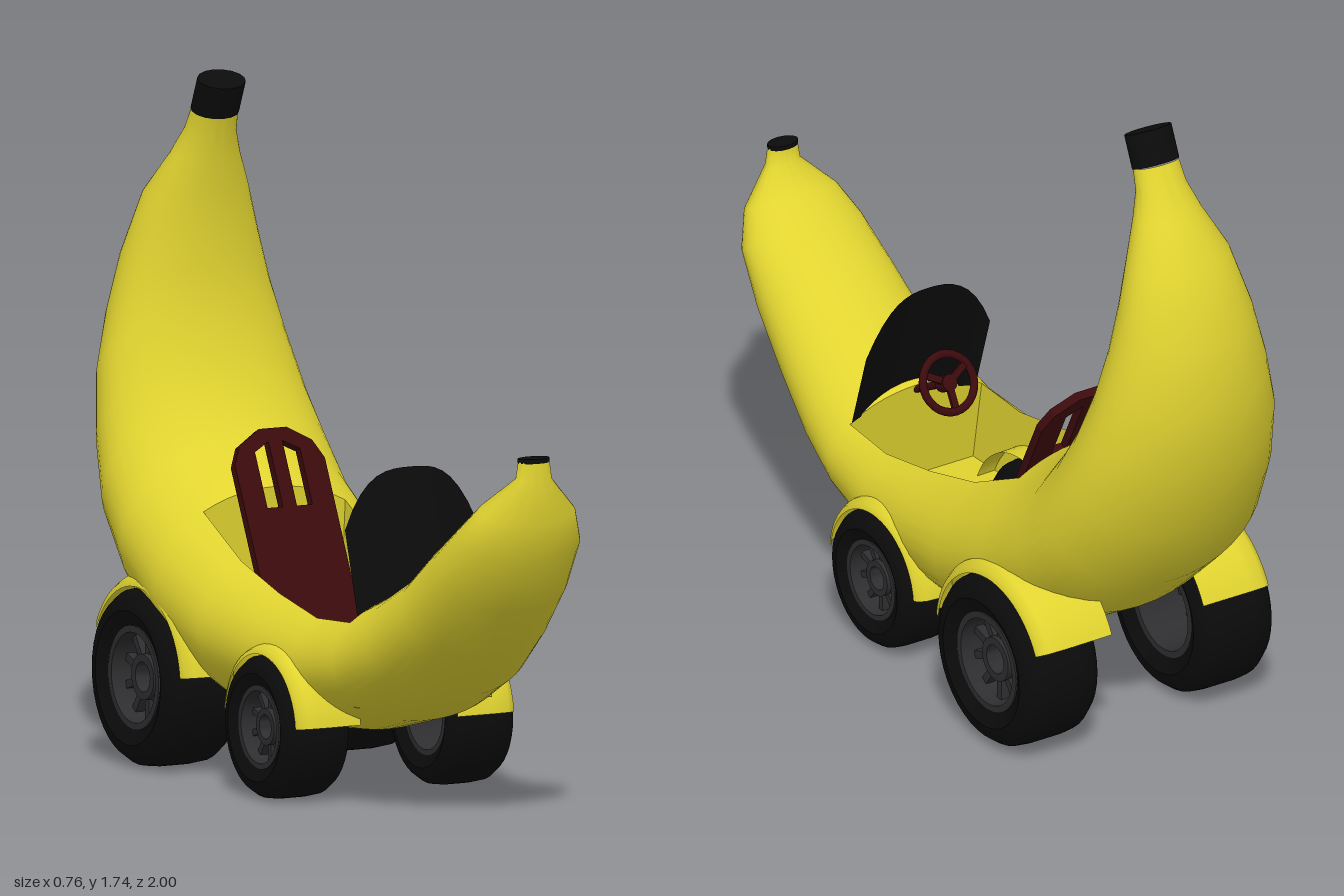
import * as THREE from 'three';
import { toCreasedNormals } from 'three/addons/utils/BufferGeometryUtils.js';

const mat = (name, color, side = THREE.FrontSide) => {
  const m = new THREE.MeshStandardMaterial({ color, side });
  m.name = name;
  return m;
};

// Loft sections: inner z, inner y, outer z, outer y, half width, cockpit flag
const STATIONS = [
  [0.945, 0.97, 0.995, 0.975, 0.043], [0.94, 0.93, 1.0, 0.92, 0.05],
  [0.87, 0.87, 1.0, 0.81, 0.135], [0.8, 0.81, 0.97, 0.71, 0.175],
  [0.68, 0.735, 0.88, 0.57, 0.195], [0.57, 0.65, 0.74, 0.43, 0.212],
  [0.45, 0.585, 0.57, 0.305, 0.24], [0.36, 0.545, 0.4, 0.225, 0.262],
  [0.36, 0.545, 0.4, 0.225, 0.262, 1], [0.2, 0.53, 0.2, 0.175, 0.285, 1],
  [0, 0.565, 0, 0.155, 0.305, 1], [-0.2, 0.615, -0.2, 0.16, 0.33, 1],
  [-0.4, 0.715, -0.42, 0.21, 0.343, 1], [-0.4, 0.715, -0.42, 0.21, 0.343],
  [-0.555, 0.81, -0.64, 0.34, 0.338], [-0.63, 0.92, -0.8, 0.485, 0.325],
  [-0.67, 1.0, -0.9, 0.67, 0.3], [-0.71, 1.13, -0.975, 0.86, 0.265],
  [-0.72, 1.24, -1.0, 1.04, 0.225], [-0.72, 1.34, -0.985, 1.22, 0.187],
  [-0.715, 1.43, -0.92, 1.42, 0.143], [-0.7, 1.52, -0.84, 1.525, 0.095],
  [-0.69, 1.575, -0.79, 1.6, 0.07], [-0.675, 1.625, -0.76, 1.655, 0.064],
];

// Curved hull whose top sinks to a floor between the cockpit sections
function hullGeometry() {
  const OUT = 32, DECK = 12, N = OUT + DECK, FLOOR = 0.27;
  const pos = [], idx = [];
  for (const [zi, yi, zo, yo, w, open] of STATIONS) {
    const cz = (zi + zo) / 2, cy = (yi + yo) / 2, uz = (zi - zo) / 2, uy = (yi - yo) / 2;
    const k = Math.min(0.77, 0.205 / w), a0 = Math.acos(k);
    const put = (x, t) => pos.push(x, cy + uy * t, cz + uz * t);
    for (let j = 0; j <= OUT; j++) {
      const a = a0 - (j / OUT) * (Math.PI + 2 * a0);
      put(w * Math.cos(a), Math.sin(a));
    }
    for (let j = 1; j < DECK; j++) {
      if (open) put(w * k * 0.96 * (-1 + (2 * (j - 1)) / (DECK - 2)), (FLOOR - cy) / uy);
      else {
        const x = k * (-1 + (2 * j) / DECK);
        put(w * x, Math.sqrt(1 - x * x));
      }
    }
  }
  for (let i = 0; i < STATIONS.length - 1; i++) {
    for (let j = 0; j < N; j++) {
      const a = i * N + j, b = i * N + ((j + 1) % N);
      idx.push(a, b, a + N, b, b + N, a + N);
    }
  }
  const g = new THREE.BufferGeometry();
  g.setAttribute('position', new THREE.Float32BufferAttribute(pos, 3));
  g.setIndex(idx);
  return toCreasedNormals(g, 0.8);
}

// Lathe around the x axis; profile pairs are [radius, x]
function latheX(profile, start = 0, length = Math.PI * 2, segments = 40) {
  const pts = profile.map(([r, x]) => new THREE.Vector2(r, x));
  return toCreasedNormals(new THREE.LatheGeometry(pts, segments, start, length).rotateZ(-Math.PI / 2), 0.7);
}

export function createModel() {
  const yellow = mat('yellow paint', 0xe0d330);
  const yellowShell = mat('yellow shell paint', 0xe0d330, THREE.DoubleSide);
  const black = mat('black', 0x0b0b0b);
  const screen = mat('dark windscreen', 0x0b0b0b, THREE.DoubleSide);
  const red = mat('dark red', 0x3c0a0d);
  const grey = mat('rim grey', 0x2e2e30);

  const model = new THREE.Group();
  model.name = 'fruitCar';
  const body = new THREE.Group();
  body.name = 'body';
  body.position.x = -0.015;
  model.add(body);
  const add = (parent, name, geometry, material, x = 0, y = 0, z = 0) => {
    const m = new THREE.Mesh(geometry, material);
    m.name = name;
    m.position.set(x, y, z);
    parent.add(m);
    return m;
  };

  add(body, 'hull', hullGeometry(), yellow);

  // Dark ends of the hull
  const stem = add(body, 'stemCap', new THREE.CylinderGeometry(0.066, 0.066, 0.09, 16), black, 0, 1.681, -0.699);
  stem.scale.z = 0.72;
  stem.rotation.x = 0.41;
  const tip = add(body, 'noseTip', new THREE.CylinderGeometry(0.044, 0.044, 0.012, 16), black, 0, 0.973, 0.97);
  tip.scale.z = 0.6;

  // Bowed windscreen with an arched top
  const glass = new THREE.PlaneGeometry(0.38, 1, 16, 8);
  const gp = glass.attributes.position;
  for (let i = 0; i < gp.count; i++) {
    const x = gp.getX(i), s = Math.abs(x) / 0.19;
    const y = (gp.getY(i) + 0.5) * (0.36 - 0.15 * Math.pow(s, 3));
    gp.setXYZ(i, x, 0.5 + y, 0.395 - 0.31 * y - 1.3 * x * x);
  }
  glass.computeVertexNormals();
  add(body, 'windscreen', glass, screen, 0.02, 0, 0);

  // Steering wheel, spokes and column
  const steering = new THREE.Group();
  steering.name = 'steering';
  steering.position.set(0, 0.61, 0.22);
  steering.rotation.x = 0.5;
  body.add(steering);
  add(steering, 'steeringRing', new THREE.TorusGeometry(0.075, 0.011, 8, 28), red);
  add(steering, 'steeringHub', new THREE.CylinderGeometry(0.022, 0.022, 0.04, 14).rotateX(Math.PI / 2), red, 0, 0, 0.012);
  add(steering, 'steeringColumn', new THREE.CylinderGeometry(0.01, 0.01, 0.2, 10).rotateX(Math.PI / 2), red, 0, 0, 0.1);
  for (let i = 0; i < 3; i++) {
    const spoke = new THREE.BoxGeometry(0.018, 0.07, 0.01).translate(0, -0.037, 0);
    add(steering, 'steeringSpoke', spoke, red).rotation.z = (i * Math.PI * 2) / 3;
  }

  // Seat with a slotted, leaning back
  add(body, 'seatCushion', new THREE.BoxGeometry(0.26, 0.1, 0.22), red, 0, 0.32, -0.11);
  const back = new THREE.Shape();
  [[-0.13, 0], [0.13, 0], [0.13, 0.46], [0.105, 0.51], [0.04, 0.55], [-0.04, 0.55], [-0.105, 0.51], [-0.13, 0.46]]
    .forEach(([x, y], i) => (i ? back.lineTo(x, y) : back.moveTo(x, y)));
  for (const s of [-1, 1]) {
    const slot = new THREE.Path();
    slot.moveTo(s * 0.02, 0.34);
    slot.lineTo(s * 0.02, 0.515);
    slot.lineTo(s * 0.065, 0.49);
    slot.lineTo(s * 0.065, 0.34);
    back.holes.push(slot);
  }
  const backGeo = new THREE.ExtrudeGeometry(back, { depth: 0.025, bevelEnabled: false });
  add(body, 'seatBack', backGeo, red, 0, 0.36, -0.19).rotation.x = -0.46;

  // Wheels and mudguards: radius, tyre width, side offset, centre x, y, z, guard arc
  const AXLES = [
    { name: 'front', R: 0.185, w: 0.19, x: 0.238, cx: -0.015, z: 0.1, from: 0.1, to: 0.1, lip: 0.315 },
    { name: 'rear', R: 0.23, w: 0.225, x: 0.267, cx: 0, z: -0.51, from: 0.45, to: 0.12, lip: 0.355 },
  ];
  for (const { name, R, w, x, cx, z, from, to, lip } of AXLES) {
    const h = w / 2, r = R * 0.56;
    const tyre = latheX([[r, -h * 0.8], [R * 0.75, -h], [R * 0.9, -h * 0.92], [R * 0.98, -h * 0.7], [R, -h * 0.35],
      [R, h * 0.35], [R * 0.98, h * 0.7], [R * 0.9, h * 0.92], [R * 0.75, h], [r, h * 0.8], [r, -h * 0.8]]);
    const rim = latheX([[r * 0.9, -h * 0.82], [r * 1.04, -h * 0.82], [r * 1.04, h * 0.86], [r * 0.9, h * 0.86], [r * 0.9, -h * 0.82]]);
    const hub = latheX([[r * 0.3, -0.02], [r * 0.46, -0.02], [r * 0.46, 0.025], [r * 0.3, 0.025], [r * 0.3, -0.02]], 0, Math.PI * 2, 24);
    const guard = latheX([[R * 1.15, 0.14], [R * 1.17, lip - 0.07], [R * 1.14, lip - 0.025], [R * 1.08, lip - 0.005], [R * 1.01, lip]],
      Math.PI + from, Math.PI - from - to, 24);
    for (const side of [1, -1]) {
      const corner = new THREE.Group();
      corner.name = name + (side > 0 ? 'Left' : 'Right') + 'Corner';
      corner.position.set(cx, R + 0.005, z);
      corner.scale.x = side;
      model.add(corner);
      add(corner, 'mudguard', guard, yellowShell);
      const wheel = new THREE.Group();
      wheel.name = 'wheel';
      wheel.position.x = x;
      corner.add(wheel);
      add(wheel, 'tyre', tyre, black);
      add(wheel, 'rim', rim, grey);
      add(wheel, 'hub', hub, grey, h * 0.4);
      for (let i = 0; i < 10; i++) {
        const spoke = new THREE.BoxGeometry(0.025, r * 0.55, r * 0.16).translate(0, r * 0.68, 0);
        add(wheel, 'spoke', spoke, grey, h * 0.4).rotation.x = (i * Math.PI) / 5;
      }
    }
  }
  return model;
}
